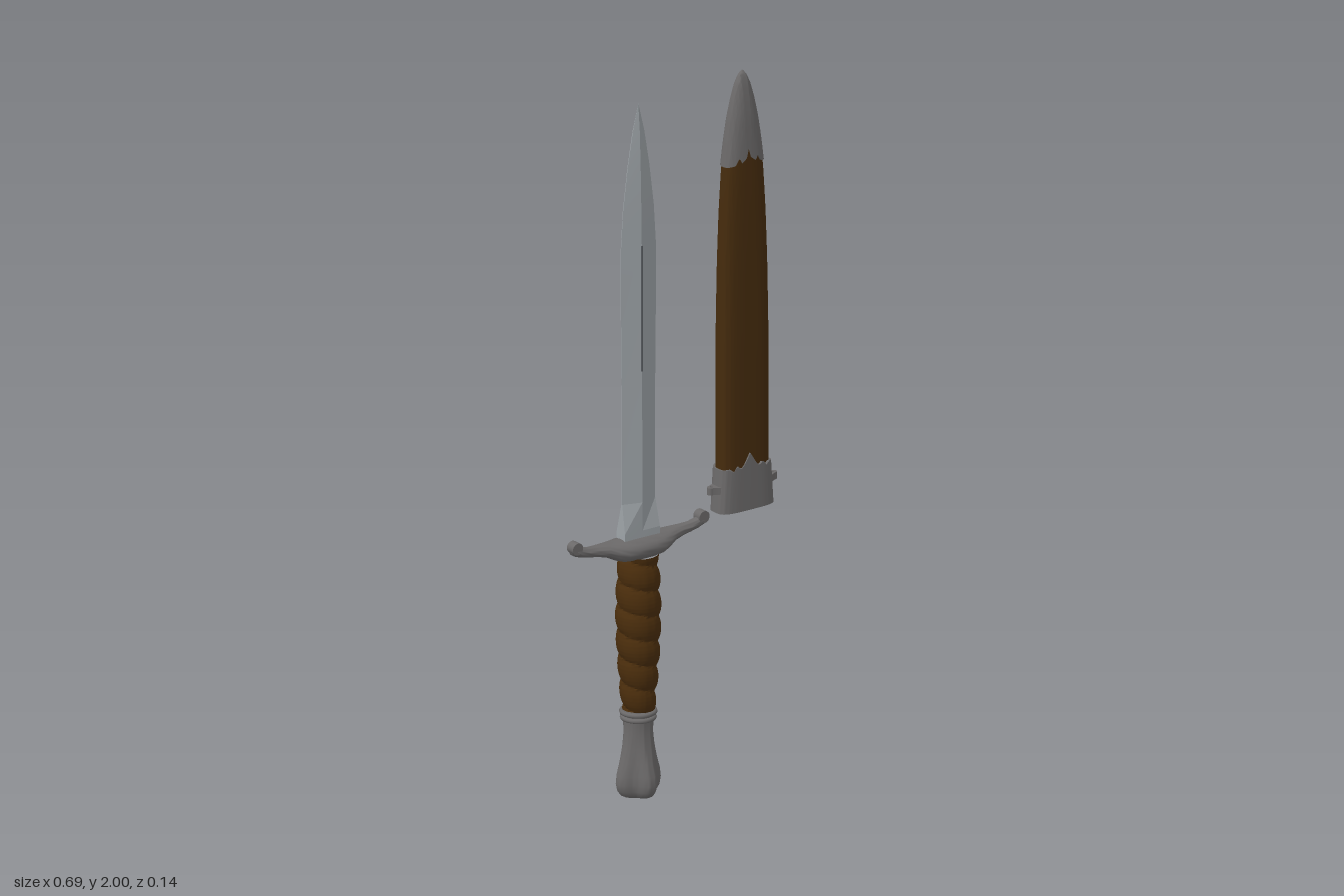
import * as THREE from 'three';
import { toCreasedNormals } from 'three/addons/utils/BufferGeometryUtils.js';

const material = (name, color) => {
  const m = new THREE.MeshStandardMaterial({ color });
  m.name = name;
  return m;
};

// Linear interpolation in a small table of [position, value, value...] rows
function sample(table, t, k = 1) {
  if (t <= table[0][0]) return table[0][k];
  for (let i = 1; i < table.length; i++) {
    const a = table[i - 1], b = table[i];
    if (t <= b[0]) return a[k] + (b[k] - a[k]) * (t - a[0]) / (b[0] - a[0]);
  }
  return table[table.length - 1][k];
}

// Skin over closed rings: point(row, angle) returns [x, y, z]
function loft(rows, sides, point, crease = 0.7) {
  const pos = [], index = [];
  for (let i = 0; i < rows; i++) {
    for (let j = 0; j < sides; j++) {
      pos.push(...point(i, j / sides * Math.PI * 2, j));
      if (i === rows - 1) continue;
      const a = i * sides + j, b = i * sides + (j + 1) % sides;
      index.push(a, a + sides, b, b, a + sides, b + sides);
    }
  }
  const g = new THREE.BufferGeometry();
  g.setAttribute('position', new THREE.Float32BufferAttribute(pos, 3));
  g.setIndex(index);
  return toCreasedNormals(g, crease);
}

// Rounded-rectangle ring point
const power = (v, n) => Math.sign(v) * Math.pow(Math.abs(v), 2 / n);
const squircle = (t, w, d, y, n) => [w * power(Math.cos(t), n), y, d * power(Math.sin(t), n)];

export function createModel() {
  const blade = material('blade steel', 0x9da3a7);
  const groove = material('groove steel', 0x5c6064);
  const iron = material('dark iron', 0x6b6969);
  const leather = material('brown leather', 0x4a2d0c);
  const lining = material('leather sheath', 0x452b0d);
  lining.side = THREE.DoubleSide;

  const model = new THREE.Group();
  const dagger = new THREE.Group();
  dagger.name = 'dagger';
  dagger.position.x = -0.116;
  const scabbard = new THREE.Group();
  scabbard.name = 'scabbard';
  scabbard.position.x = 0.23;
  model.add(dagger, scabbard);
  const add = (parent, name, geometry, mat) => {
    const m = new THREE.Mesh(geometry, mat);
    m.name = name;
    parent.add(m);
    return m;
  };

  // Blade: rectangular root running into a diamond section [y, half width, edge, ridge]
  const bladeRows = [
    [0.73, 0.058, 0.019, 0.02], [0.76, 0.058, 0.019, 0.02], [0.84, 0.055, 0.002, 0.019],
    [1.1, 0.055, 0.001, 0.018], [1.4, 0.058, 0.001, 0.017], [1.57, 0.058, 0.001, 0.016],
    [1.68, 0.051, 0.001, 0.014], [1.8, 0.036, 0.001, 0.011], [1.9, 0.019, 0.001, 0.007],
    [1.98, 0, 0, 0],
  ];
  const corners = [[1, 1, 0], [0, 0, 1], [-1, 1, 0], [-1, -1, 0], [0, 0, -1], [1, -1, 0]];
  add(dagger, 'blade', loft(bladeRows.length, 6, (i, t, j) => {
    const [y, w, e, r] = bladeRows[i], [cx, ce, cr] = corners[j];
    return [cx * w, y, ce * e + cr * r];
  }, 0.1), blade);
  for (const s of [1, -1]) {
    const line = add(dagger, 'bladeGroove', new THREE.BoxGeometry(0.005, 0.36, 0.003), groove);
    line.position.set(0, 1.395, s * 0.0163);
  }

  // Crossguard: oval sections along x [distance, centre y, half height, half depth]
  const guard = [
    [0, 0.71, 0.033, 0.052], [0.03, 0.71, 0.033, 0.051], [0.06, 0.711, 0.031, 0.048],
    [0.085, 0.715, 0.026, 0.039], [0.11, 0.722, 0.02, 0.028], [0.14, 0.726, 0.016, 0.021],
    [0.17, 0.729, 0.014, 0.017], [0.195, 0.735, 0.015, 0.015], [0.213, 0.742, 0.016, 0.014],
    [0.223, 0.745, 0.013, 0.012], [0.226, 0.746, 0, 0],
  ];
  const half = guard.length - 1;
  add(dagger, 'crossguard', loft(2 * half + 1, 28, (i, t) => {
    const [x, y, h, d] = guard[Math.abs(i - half)];
    return [Math.sign(i - half) * x, y + h * Math.cos(t), -d * Math.sin(t)];
  }, 1.2), iron);
  for (const s of [1, -1]) {
    const scroll = add(dagger, 'guardScroll', new THREE.CylinderGeometry(0.017, 0.017, 0.028, 20), iron);
    scroll.rotation.x = Math.PI / 2;
    scroll.position.set(s * 0.211, 0.75, 0);
  }

  // Grip: spiral cord winding
  const gripRadius = [[0.24, 0.046], [0.32, 0.053], [0.42, 0.06], [0.52, 0.063], [0.62, 0.06], [0.69, 0.055]];
  add(dagger, 'grip', loft(121, 48, (i, t) => {
    const y = 0.24 + 0.45 * i / 120;
    const wave = Math.abs(Math.sin(Math.PI * (y / 0.072 - t / (Math.PI * 2))));
    const r = sample(gripRadius, y) - 0.011 * (1 - Math.sqrt(wave));
    return [r * Math.cos(t), y, r * Math.sin(t)];
  }, 1.1), leather);

  // Collar rings between grip and pommel
  for (const [y, r] of [[0.222, 0.043], [0.238, 0.045]]) {
    const ring = add(dagger, 'collarRing', new THREE.TorusGeometry(r, 0.007, 8, 32), iron);
    ring.rotation.x = Math.PI / 2;
    ring.position.y = y;
  }

  // Pommel: four lobes flaring downward [y, radius, lobe depth]
  const pommel = [
    [0, 0, 0], [0, 0.045, 0.12], [0.006, 0.056, 0.14], [0.02, 0.066, 0.15], [0.04, 0.07, 0.15],
    [0.065, 0.067, 0.14], [0.1, 0.057, 0.11], [0.14, 0.048, 0.07], [0.18, 0.042, 0.03],
    [0.215, 0.041, 0], [0.245, 0.044, 0], [0.245, 0, 0],
  ];
  add(dagger, 'pommel', loft(pommel.length, 64, (i, t) => {
    const [y, r0, a] = pommel[i];
    const r = r0 * (1 - a * (1 - Math.cos(4 * t)));
    return [r * Math.cos(t), y, r * Math.sin(t)];
  }, 0.9), iron);

  // Scabbard outline [y, half width, half depth, squareness]
  const outline = [
    [0.75, 0.078, 0.034, 3.4], [1.2, 0.078, 0.035, 3.4], [1.45, 0.074, 0.034, 3.2], [1.6, 0.069, 0.033, 3],
    [1.73, 0.062, 0.031, 2.7], [1.8, 0.055, 0.029, 2.4], [1.87, 0.045, 0.026, 2.2], [1.92, 0.035, 0.021, 2],
    [1.96, 0.024, 0.015, 2], [1.985, 0.013, 0.009, 2], [1.996, 0.005, 0.004, 2], [2, 0, 0, 2],
  ];
  const shell = (t, y, grow) => squircle(t, sample(outline, y) + grow, sample(outline, y, 2) + grow, y, sample(outline, y, 3));
  add(scabbard, 'scabbardBody', loft(24, 96, (i, t) => shell(t, 0.755 + 1.04 * i / 23, 0)), lining);

  // Chape: tip cover with a scalloped lower edge
  const chapeEdge = [[0, 1.785], [0.12, 1.757], [0.35, 1.745], [0.5, 1.76], [0.65, 1.74], [1, 1.735]];
  add(scabbard, 'chape', loft(20, 96, (i, t) => {
    const s = Math.abs(power(Math.cos(t), 2.6));
    const low = sample(chapeEdge, s), f = Math.max(0, i - 1) / 18;
    const y = low + (2 - low) * (1 - (1 - f) * (1 - f));
    return shell(t, y, i === 0 ? -0.001 : 0.003 * (1 - f));
  }, 0.9), iron);

  // Locket: mouth fitting with a pointed upper edge and an open throat
  const locketEdge = [[0, 0.912], [0.15, 0.885], [0.33, 0.87], [0.48, 0.882], [0.62, 0.866], [0.8, 0.875], [1, 0.872]];
  add(scabbard, 'locket', loft(5, 96, (i, t) => {
    const top = sample(locketEdge, Math.abs(power(Math.cos(t), 3.4)));
    const [y, w, d] = [
      [0.765, 0.076, 0.033], [0.75, 0.079, 0.034], [0.75, 0.091, 0.04], [top, 0.083, 0.039], [top, 0.076, 0.034],
    ][i];
    return squircle(t, w, d, y, 3.8);
  }, 0.6), iron);

  // Hanging ears with eyelets
  const ear = new THREE.Shape();
  ear.moveTo(0.082, -0.022);
  ear.quadraticCurveTo(0.096, -0.013, 0.105, -0.01);
  ear.absarc(0.105, 0, 0.01, -Math.PI / 2, Math.PI / 2, false);
  ear.quadraticCurveTo(0.096, 0.013, 0.082, 0.022);
  const eye = new THREE.Path();
  eye.absellipse(0.101, 0, 0.004, 0.005, 0, Math.PI * 2, true);
  ear.holes.push(eye);
  const earGeometry = new THREE.ExtrudeGeometry(ear, { depth: 0.02, bevelEnabled: false, curveSegments: 10 });
  earGeometry.rotateX(-Math.PI / 2);
  for (const s of [0, 1]) {
    const m = add(scabbard, s ? 'rightEar' : 'leftEar', earGeometry, iron);
    m.position.y = 0.805;
    m.rotation.y = s * Math.PI;
  }

  return model;
}
